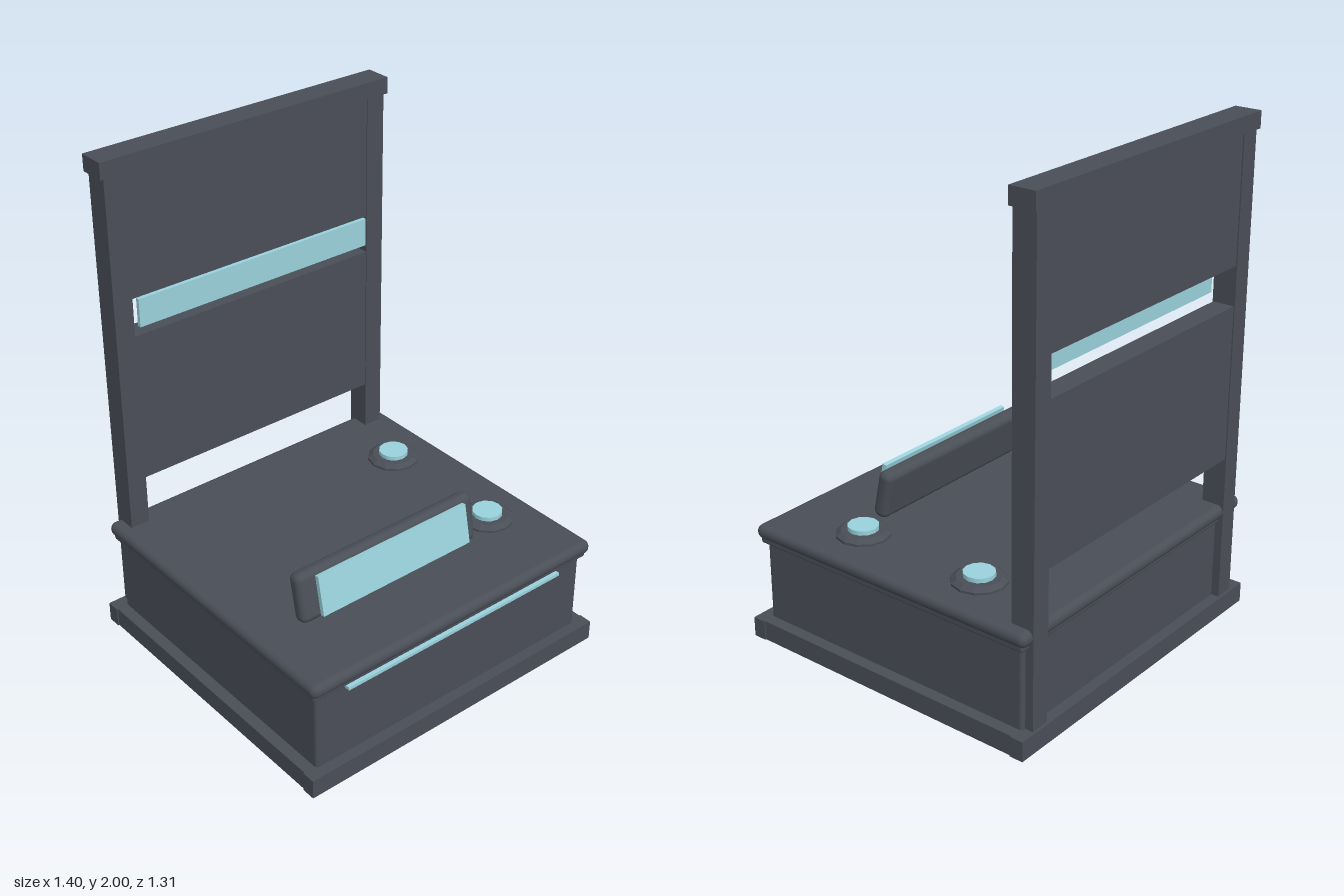
import * as THREE from 'three';
import { RoundedBoxGeometry } from 'three/addons/geometries/RoundedBoxGeometry.js';

export function createModel() {
  const model = new THREE.Group();
  const dark = new THREE.MeshStandardMaterial({ color: 0x4a4e57 });
  dark.name = 'dark slate';
  const cyan = new THREE.MeshStandardMaterial({ color: 0x9ad2dc });
  cyan.name = 'pale cyan';

  function add(name, geometry, material, x, y, z, parent = model) {
    const mesh = new THREE.Mesh(geometry, material);
    mesh.name = name;
    mesh.position.set(x, y, z);
    parent.add(mesh);
    return mesh;
  }
  // Box given by its limits on each axis
  function span(name, material, [x0, x1], [y0, y1], [z0, z1], radius = 0) {
    const size = [x1 - x0, y1 - y0, z1 - z0];
    const geometry = radius
      ? new RoundedBoxGeometry(...size, 3, radius)
      : new THREE.BoxGeometry(...size);
    return add(name, geometry, material, (x0 + x1) / 2, (y0 + y1) / 2, (z0 + z1) / 2);
  }

  // Open plinth frame with four feet inside
  for (const s of [-1, 1]) {
    span(s > 0 ? 'plinthFront' : 'plinthBack', dark, [-0.7, 0.7], [0, 0.08],
      s > 0 ? [0.6, 0.655] : [-0.655, -0.6]);
    span(s > 0 ? 'plinthLeft' : 'plinthRight', dark,
      s > 0 ? [0.64, 0.695] : [-0.695, -0.64], [0, 0.08], [-0.6, 0.6]);
    for (const t of [-1, 1]) {
      add('foot', new THREE.CylinderGeometry(0.07, 0.07, 0.08, 12), dark, s * 0.5, 0.04, t * 0.45);
    }
  }

  // Cabinet, lip and rounded deck
  span('cabinet', dark, [-0.648, 0.648], [0.065, 0.42], [-0.612, 0.612], 0.015);
  span('deckLip', dark, [-0.667, 0.667], [0.4, 0.43], [-0.625, 0.625], 0.008);
  span('deck', dark, [-0.68, 0.68], [0.418, 0.475], [-0.642, 0.642], 0.027);
  span('frontLightStrip', cyan, [-0.52, 0.515], [0.385, 0.398], [0.61, 0.636]);

  // Back frame: posts, cap and two panels with a slot between
  for (const s of [-1, 1]) {
    span(s > 0 ? 'leftPost' : 'rightPost', dark,
      s > 0 ? [0.55, 0.63] : [-0.63, -0.55], [0.08, 1.94], [-0.645, -0.55]);
  }
  span('cap', dark, [-0.645, 0.645], [1.935, 2], [-0.652, -0.545]);
  span('upperPanel', dark, [-0.55, 0.55], [1.445, 1.935], [-0.64, -0.553]);
  span('lowerPanel', dark, [-0.55, 0.55], [0.675, 1.29], [-0.64, -0.553]);
  span('slotLight', cyan, [-0.533, 0.533], [1.33, 1.445], [-0.553, -0.537]);

  // Tilted display with a screen standing off its housing
  const display = new THREE.Group();
  display.name = 'display';
  display.position.set(-0.073, 0.57, 0.305);
  display.rotation.x = -0.2;
  model.add(display);
  add('displayHousing', new RoundedBoxGeometry(0.842, 0.2, 0.065, 3, 0.028), dark, 0, 0, 0, display);
  add('displayScreen', new THREE.BoxGeometry(0.708, 0.162, 0.018), cyan, 0, 0.005, 0.056, display);

  // Two buttons on bevelled collars
  const collarProfile = [[0, 0], [0.105, 0], [0.105, 0.012], [0.085, 0.026], [0, 0.026]]
    .map(([r, y]) => new THREE.Vector2(r, y));
  for (const z of [-0.284, 0.274]) {
    const collar = new THREE.LatheGeometry(collarProfile, 12).toNonIndexed();
    collar.computeVertexNormals();
    add('buttonCollar', collar, dark, 0.477, 0.472, z);
    add('button', new THREE.CylinderGeometry(0.06, 0.06, 0.022, 12), cyan, 0.477, 0.504, z);
  }
  return model;
}
